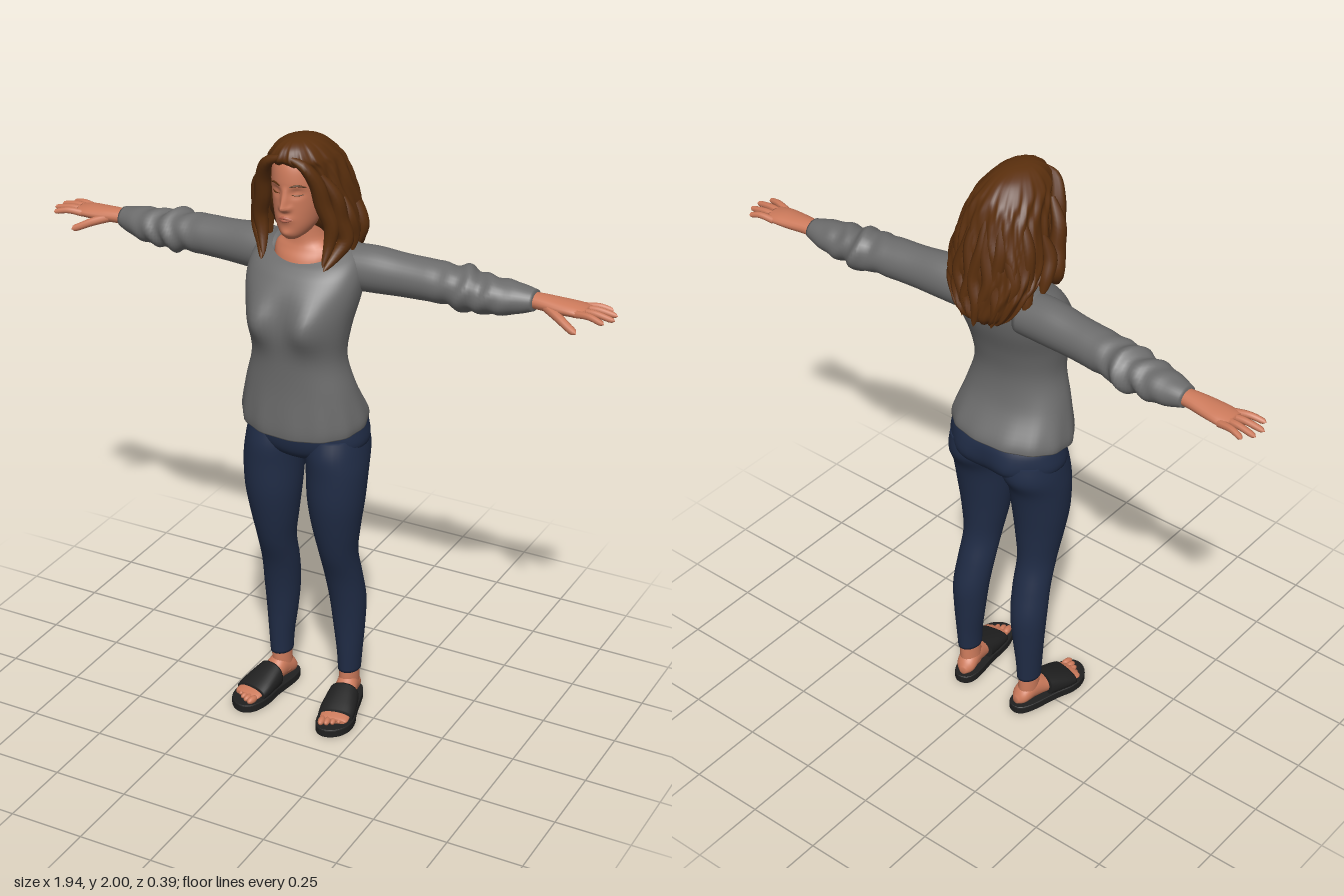
import * as THREE from 'three';

const mat = (name, color, side = THREE.FrontSide) => {
  const m = new THREE.MeshStandardMaterial({ color, side });
  m.name = name;
  return m;
};
const gauss = (d, w) => Math.exp(-(d * d) / (w * w));

// Closed loft up the y axis. Section: [y, centreX, halfWidth, zFront, zBack, roundness, frontDrop]
function loft(sections, { seg = 32, sub = 5, warp, topCap = true } = {}) {
  const at = (i, k) => {
    const s = sections[Math.min(Math.max(i, 0), sections.length - 1)];
    return s[k] ?? (k === 5 ? 2 : 0);
  };
  const pos = [], idx = [], rows = (sections.length - 1) * sub;
  const v = new THREE.Vector3();
  for (let r = 0; r <= rows; r++) {
    const i = Math.min(Math.floor(r / sub), sections.length - 2), t = r / sub - i;
    const [y, cx, hw, zf, zb, e, drop] = [0, 1, 2, 3, 4, 5, 6].map((k) => {
      const [a, b, c, d] = [at(i - 1, k), at(i, k), at(i + 1, k), at(i + 2, k)];
      return b + 0.5 * t * (c - a + t * (2 * a - 5 * b + 4 * c - d + t * (3 * (b - c) + d - a)));
    });
    for (let j = 0; j < seg; j++) {
      const a = (j / seg) * Math.PI * 2, s = Math.sin(a), c = Math.cos(a);
      const p = (n) => Math.sign(n) * Math.abs(n) ** (2 / e);
      v.set(cx + hw * p(s), y - drop * c, (zf + zb) / 2 + ((zf - zb) / 2) * p(c));
      if (warp) warp(v, a);
      pos.push(v.x, v.y, v.z);
    }
  }
  for (let r = 0; r < rows; r++) for (let j = 0; j < seg; j++) {
    const a = r * seg + j, b = r * seg + (j + 1) % seg;
    idx.push(a, b, b + seg, a, b + seg, a + seg);
  }
  // End caps
  for (const row of topCap ? [0, rows] : [0]) {
    const o = row * seg, m = [0, 0, 0];
    for (let j = 0; j < seg * 3; j++) m[j % 3] += pos[o * 3 + j] / seg;
    const n = pos.length / 3;
    pos.push(...m);
    for (let j = 0; j < seg; j++) {
      const a = o + j, b = o + (j + 1) % seg;
      row ? idx.push(a, b, n) : idx.push(b, a, n);
    }
  }
  const g = new THREE.BufferGeometry();
  g.setAttribute('position', new THREE.Float32BufferAttribute(pos, 3));
  g.setIndex(idx);
  g.computeVertexNormals();
  return g;
}

// Tube along points whose radius follows a profile of t
function taper(points, radius, profile, seg = 20, sides = 10) {
  const curve = new THREE.CatmullRomCurve3(points.map((p) => new THREE.Vector3(...p)));
  const g = new THREE.TubeGeometry(curve, seg, radius, sides);
  const p = g.attributes.position, v = new THREE.Vector3();
  for (let i = 0; i < p.count; i++) {
    const t = Math.floor(i / (sides + 1)) / seg, c = curve.getPointAt(t);
    v.fromBufferAttribute(p, i).sub(c).multiplyScalar(profile(t)).add(c);
    p.setXYZ(i, v.x, v.y, v.z);
  }
  return g;
}
const lockShape = (t) => Math.sin(Math.PI * Math.min(1, 0.04 + t * 0.96)) ** 0.6;
const fingerShape = (t) => (1 - 0.3 * t) * Math.sqrt(Math.max(0, 1 - Math.max(0, (t - 0.85) / 0.15) ** 2));

function mirrored(g) {
  const m = g.clone().scale(-1, 1, 1);
  const ix = m.index.array;
  for (let i = 0; i < ix.length; i += 3) [ix[i], ix[i + 1]] = [ix[i + 1], ix[i]];
  return m;
}

export function createModel() {
  const skin = mat('skin', 0xcc7a5b), lip = mat('lips', 0xb5624c);
  const grey = mat('grey knit', 0x6c6c6c, THREE.DoubleSide);
  const navy = mat('navy denim', 0x202c46), brown = mat('brown hair', 0x5a2f0d);
  const black = mat('black rubber', 0x202020, THREE.DoubleSide);
  const model = new THREE.Group();
  model.name = 'woman';
  const add = (name, g, m) => {
    const mesh = new THREE.Mesh(g, m);
    mesh.name = name;
    model.add(mesh);
  };
  const pair = (name, g, m) => {
    add('left' + name, g, m);
    add('right' + name, mirrored(g), m);
  };

  // Sweater body with bust and soft folds near the hem
  add('sweaterBody', loft([
    [1.065, 0, 0.203, 0.162, -0.148, 2.2, 0.02], [1.1, 0, 0.203, 0.164, -0.138, 2.2, 0.015],
    [1.2, 0, 0.178, 0.158, -0.085, 2.2], [1.3, 0, 0.152, 0.16, -0.068, 2.2],
    [1.4, 0, 0.163, 0.168, -0.085, 2.2], [1.5, 0, 0.182, 0.155, -0.118, 2.3],
    [1.57, 0, 0.185, 0.125, -0.133, 2.3, 0.01], [1.62, 0, 0.165, 0.098, -0.135, 2.2, 0.03],
    [1.645, 0, 0.115, 0.08, -0.11, 2, 0.042],
  ], { seg: 64, topCap: false, warp: (v, a) => {
    if (v.z > 0.05) v.z += 0.04 * gauss(Math.abs(v.x) - 0.085, 0.055) * gauss(v.y - 1.43, 0.07);
    const fold = 1 + 0.012 * Math.sin(a * 13) * gauss(v.y - 1.06, 0.1);
    v.x *= fold; v.z *= fold;
  } }), grey);

  // Sleeves, gathered below the elbow (lofted upright, then laid along x)
  pair('Sleeve', loft([
    [0.1, -1.57, 0.07, 0.02, -0.125], [0.2, -1.573, 0.073, 0.012, -0.128],
    [0.3, -1.57, 0.067, 0, -0.13], [0.4, -1.568, 0.064, -0.005, -0.14],
    [0.46, -1.565, 0.061, -0.007, -0.145], [0.5, -1.56, 0.069, -0.003, -0.163],
    [0.545, -1.557, 0.058, -0.012, -0.148], [0.6, -1.555, 0.056, -0.018, -0.15],
    [0.66, -1.557, 0.047, -0.035, -0.145], [0.715, -1.56, 0.032, -0.058, -0.132],
  ], { warp: (v, a) => {
    const w = 0.006 * gauss(v.y - 0.53, 0.09) * Math.sin(v.y * 90 + 2 * Math.sin(a * 2));
    v.x += w * Math.sin(a); v.z += w * Math.cos(a);
  } }).rotateZ(-Math.PI / 2), grey);

  // Hands, palm down with the thumb forward
  pair('Palm', loft([
    [0.69, -1.56, 0.024, -0.068, -0.125], [0.74, -1.56, 0.024, -0.062, -0.13],
    [0.79, -1.558, 0.023, -0.056, -0.138], [0.84, -1.557, 0.02, -0.054, -0.145],
    [0.88, -1.555, 0.014, -0.058, -0.145],
  ], { seg: 20 }).rotateZ(-Math.PI / 2), skin);
  [[0.95, -0.068, -0.045], [0.97, -0.09, -0.083], [0.965, -0.112, -0.12], [0.94, -0.134, -0.152]]
    .forEach(([tip, z0, z1], i) => pair('Finger' + (i + 1), taper([
      [0.85, 1.555, z0], [0.9, 1.56, (z0 + z1) / 2], [tip, 1.55, z1]], 0.0125, fingerShape, 14, 8), skin));
  pair('Thumb', taper([[0.76, 1.555, -0.075], [0.81, 1.538, -0.05], [0.845, 1.522, -0.036],
    [0.873, 1.51, -0.028]], 0.016, fingerShape, 14, 8), skin);

  // Trousers: hips and legs
  add('trouserHips', loft([
    [0.93, 0, 0.07, 0.05, -0.06], [0.96, 0, 0.15, 0.095, -0.11], [1, 0, 0.203, 0.112, -0.135, 2.2],
    [1.06, 0, 0.2, 0.115, -0.14, 2.2], [1.1, 0, 0.188, 0.112, -0.125, 2.2],
  ], { seg: 48, warp: (v) => {
    if (v.z < 0) v.z -= 0.018 * gauss(Math.abs(v.x) - 0.09, 0.06) * gauss(v.y - 1, 0.06);
  } }), navy);
  pair('TrouserLeg', loft([
    [0.13, 0.127, 0.036, -0.018, -0.11], [0.2, 0.127, 0.041, -0.015, -0.114],
    [0.3, 0.124, 0.052, -0.01, -0.12], [0.4, 0.121, 0.06, 0.002, -0.122],
    [0.5, 0.115, 0.062, 0.025, -0.1], [0.6, 0.112, 0.063, 0.063, -0.075],
    [0.7, 0.111, 0.078, 0.09, -0.075], [0.8, 0.112, 0.092, 0.108, -0.085],
    [0.9, 0.112, 0.098, 0.112, -0.103], [0.97, 0.106, 0.1, 0.113, -0.135],
    [1.03, 0.1, 0.098, 0.1, -0.13],
  ]), navy);

  // Feet and slide sandals, turned outwards about the heel
  const place = (g) => g.translate(0, 0, 0.08).rotateY(0.2).translate(0.122, 0, -0.08);
  const foot = [
    [-0.122, 0, 0.012, -0.03, -0.055], [-0.1, 0, 0.032, -0.024, -0.085], [-0.05, 0, 0.035, -0.024, -0.115],
    [0, 0, 0.039, -0.024, -0.09], [0.06, 0, 0.048, -0.024, -0.066], [0.115, 0, 0.048, -0.024, -0.05],
    [0.13, 0, 0.04, -0.026, -0.044],
  ];
  pair('Ankle', loft([[0.05, 0.124, 0.033, -0.025, -0.105], [0.1, 0.126, 0.032, -0.022, -0.104],
    [0.16, 0.127, 0.03, -0.024, -0.1]]), skin);
  pair('Foot', place(loft(foot).rotateX(Math.PI / 2)), skin);
  for (let i = 0; i < 5; i++) {
    const r = 0.014 - i * 0.0014;
    pair('Toe' + (i + 1), place(new THREE.SphereGeometry(r, 12, 8).scale(0.85, 0.9, 1.7)
      .translate(-0.036 + i * 0.0185, 0.036, 0.137 - i * i * 0.0018)), skin);
  }
  pair('SandalStrap', place(loft([
    [-0.005, 0, 0.05, -0.012, -0.1, 2.3], [0.03, 0, 0.055, -0.012, -0.088, 2.3],
    [0.07, 0, 0.059, -0.012, -0.073, 2.3], [0.102, 0, 0.058, -0.012, -0.06, 2.3],
  ]).rotateX(Math.PI / 2)), black);
  const sole = new THREE.Shape();
  sole.moveTo(0, -0.133);
  sole.bezierCurveTo(0.06, -0.133, 0.035, -0.02, 0.056, 0.06);
  sole.bezierCurveTo(0.068, 0.13, 0.03, 0.175, -0.015, 0.175);
  sole.bezierCurveTo(-0.07, 0.17, -0.062, 0.08, -0.05, 0.03);
  sole.bezierCurveTo(-0.038, -0.03, -0.055, -0.133, 0, -0.133);
  const soleGeo = new THREE.ExtrudeGeometry(sole, { depth: 0.02, bevelSize: 0.003, bevelThickness: 0.004, bevelSegments: 2, curveSegments: 16 })
    .rotateX(Math.PI / 2).translate(0, 0.024, 0);
  soleGeo.setIndex([...Array(soleGeo.attributes.position.count).keys()]);
  pair('SandalSole', place(soleGeo), black);

  // Neck and upper chest
  add('neck', loft([
    [1.56, 0, 0.1, 0.09, -0.09], [1.61, 0, 0.105, 0.076, -0.09], [1.64, 0, 0.1, 0.06, -0.085],
    [1.67, 0, 0.066, 0.052, -0.08], [1.74, 0, 0.058, 0.05, -0.07], [1.8, 0, 0.058, 0.05, -0.07],
  ]), skin);

  // Head with nose, eye sockets, lids, mouth and chin
  add('head', loft([
    [1.694, 0, 0.022, 0.115, 0.05], [1.71, 0, 0.042, 0.13, 0], [1.74, 0, 0.061, 0.136, -0.03],
    [1.78, 0, 0.074, 0.138, -0.06], [1.83, 0, 0.083, 0.138, -0.08], [1.88, 0, 0.086, 0.14, -0.09],
    [1.93, 0, 0.079, 0.13, -0.08], [1.97, 0, 0.05, 0.1, -0.05],
  ], { seg: 96, sub: 9, warp: (v) => {
    if (v.z < 0.05) return;
    const x = Math.abs(v.x), y = v.y;
    const ridge = y < 1.802 ? gauss(y - 1.802, 0.011) : Math.max(0, 1 - (y - 1.802) / 0.065);
    v.z += 0.028 * ridge * gauss(x, 0.011) + 0.008 * gauss(x - 0.014, 0.008) * gauss(y - 1.799, 0.009);
    v.z -= 0.011 * gauss(x - 0.034, 0.018) * gauss(y - 1.847, 0.013);
    v.z += 0.006 * gauss(x - 0.035, 0.011) * gauss(y - 1.845, 0.007);
    v.z += 0.007 * gauss(x, 0.022) * gauss(y - 1.764, 0.012) + 0.005 * gauss(x, 0.02) * gauss(y - 1.718, 0.012);
  } }), skin);
  const thin = (t) => Math.sin(Math.PI * (0.03 + t * 0.94)) ** 0.5;
  pair('Brow', taper([[0.015, 1.867, 0.139], [0.036, 1.873, 0.13], [0.058, 1.866, 0.111]], 0.0035, thin, 12, 6), brown);
  pair('Lashes', taper([[0.02, 1.842, 0.133], [0.036, 1.841, 0.127], [0.053, 1.843, 0.112]], 0.002, thin, 12, 6), brown);
  [1.769, 1.76].forEach((y, i) => add(i ? 'lowerLip' : 'upperLip', taper([
    [-0.023, 1.764, 0.134], [0, y, 0.142], [0.023, 1.764, 0.134]], 0.005, thin, 14, 8), lip));

  // Hair mass with combed ridges
  add('hairMass', loft([
    [1.55, 0, 0.065, -0.1, -0.165], [1.58, 0, 0.1, -0.07, -0.183], [1.63, 0, 0.13, -0.03, -0.18, 2.3],
    [1.68, 0, 0.146, 0, -0.173, 2.4], [1.73, 0, 0.146, 0.04, -0.166, 2.4], [1.78, 0, 0.14, 0.065, -0.157, 2.4],
    [1.83, 0, 0.128, 0.085, -0.146, 2.4], [1.88, 0, 0.116, 0.1, -0.133, 2.4], [1.92, 0, 0.104, 0.12, -0.116, 2.3],
    [1.945, 0, 0.092, 0.142, -0.098, 2.1], [1.975, 0, 0.068, 0.13, -0.06], [1.992, 0, 0.04, 0.1, -0.01],
    [1.998, 0, 0.01, 0.065, 0.03],
  ], { seg: 128, warp: (v, a) => {
    const amp = 0.035 * Math.min(1, (2.01 - v.y) / 0.1);
    const w = 1 + amp * Math.sin(a * 15 + 1.6 * Math.sin(v.y * 28)) + amp * 0.4 * Math.sin(a * 31 + v.y * 30);
    v.x *= w; v.z = -0.01 + (v.z + 0.01) * w;
  } }), brown);

  // Locks framing the face and resting on the shoulders
  [
    [0.026, [0.012, 1.955, 0.132], [0.06, 1.935, 0.13], [0.09, 1.88, 0.107], [0.102, 1.81, 0.088], [0.12, 1.74, 0.07], [0.113, 1.68, 0.07], [0.1, 1.61, 0.09]],
    [0.027, [0.09, 1.9, 0.08], [0.13, 1.83, 0.06], [0.136, 1.76, 0.045], [0.148, 1.69, 0.03], [0.125, 1.64, 0.055], [0.105, 1.6, 0.095]],
    [0.024, [0.12, 1.82, 0], [0.145, 1.75, 0], [0.147, 1.69, -0.02], [0.14, 1.63, -0.03]],
  ].forEach(([r, ...pts], i) => pair('FrontLock' + (i + 1), taper(pts, r, lockShape, 26), brown));

  // Wavy locks down the back, ending in uneven tips
  for (let i = 0; i < 9; i++) {
    const u = i / 4 - 1, c = Math.sqrt(1 - u * u * 0.75), k = i % 2 ? 1 : -1;
    add('backLock' + (i + 1), taper([
      [u * 0.085, 1.9, -0.01 - 0.1 * c], [u * 0.118 + 0.008 * k, 1.8, -0.01 - 0.135 * c],
      [u * 0.135 - 0.01 * k, 1.7, -0.01 - 0.152 * c], [u * 0.125 + 0.008 * k, 1.62, -0.015 - 0.16 * c],
      [u * 0.11 - 0.006 * k, 1.545 + 0.012 * k + 0.035 * u * u, -0.02 - 0.155 * c],
    ], 0.023, lockShape, 24), brown);
  }
  return model;
}
